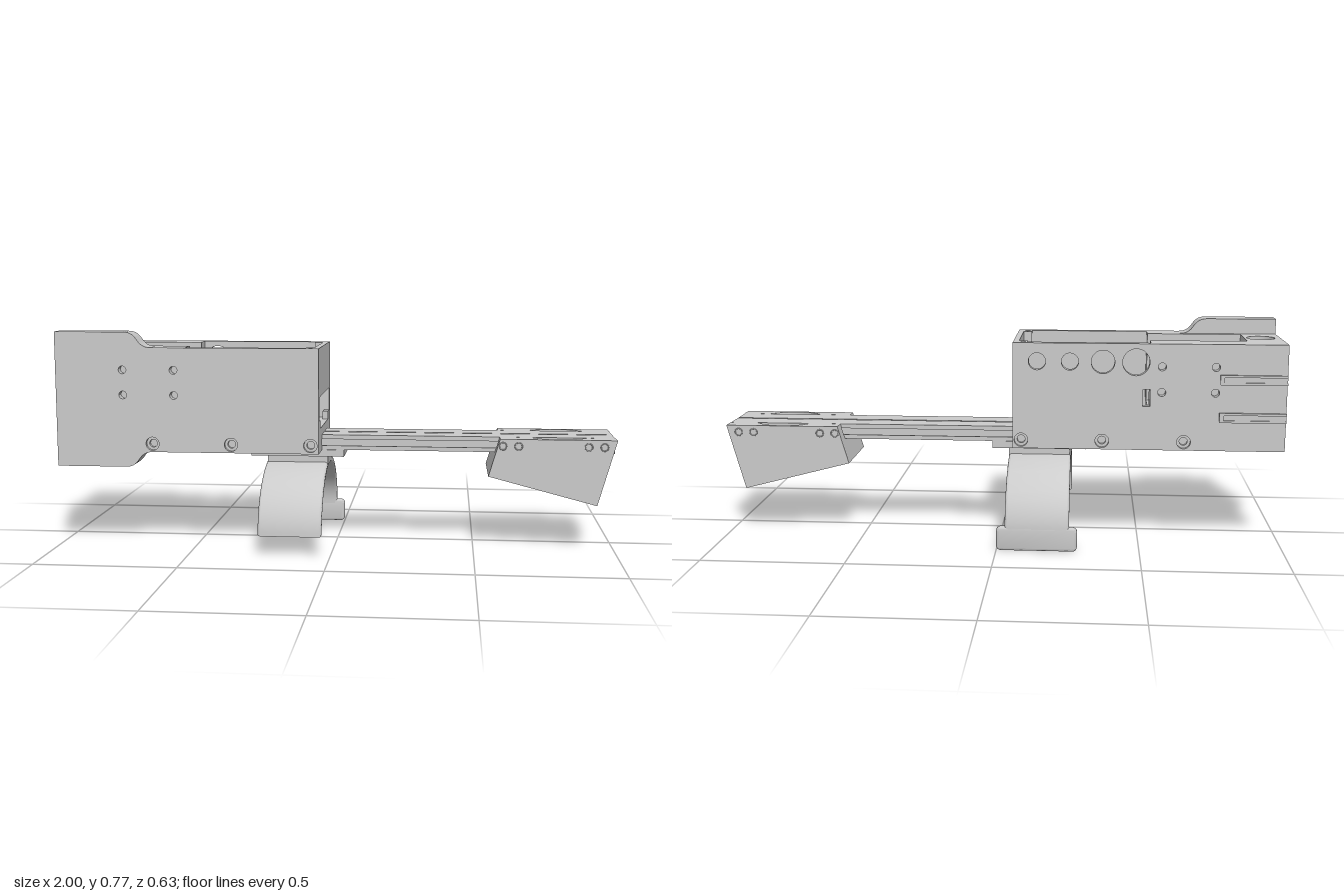
import * as THREE from 'three';
import { toCreasedNormals } from 'three/addons/utils/BufferGeometryUtils.js';

const material = new THREE.MeshStandardMaterial({ color: 0xcccccc });

const poly = (pts) => new THREE.Shape(pts.map(([x, y]) => new THREE.Vector2(x, y)));
const rect = (x0, y0, x1, y1) => poly([[x0, y0], [x1, y0], [x1, y1], [x0, y1]]);
const disc = (x, y, r) => new THREE.Shape().absarc(x, y, r, 0, Math.PI * 2);

function cut(shape, ...holes) {
  shape.holes.push(...holes);
  return shape;
}

// Extrudes a shape from a to b along z, y (shape y = -z) or x (shape x = -z)
function slab(shape, axis, a, b, bevel = 0) {
  let g = new THREE.ExtrudeGeometry(shape, {
    depth: b - a - 2 * bevel, bevelEnabled: bevel > 0, bevelSize: bevel,
    bevelThickness: bevel, bevelOffset: -bevel, bevelSegments: 3, curveSegments: 16,
  });
  g.translate(0, 0, a + bevel);
  if (axis === 'y') g.rotateX(-Math.PI / 2);
  if (axis === 'x') g.rotateY(Math.PI / 2);
  return toCreasedNormals(g, 0.6);
}

export function createModel() {
  const model = new THREE.Group();
  const add = (name, geometry, parent = model) => {
    const m = new THREE.Mesh(geometry, material);
    m.name = name;
    parent.add(m);
    return m;
  };
  const box = (name, x0, x1, y0, y1, z0, z1, parent) => {
    const g = new THREE.BoxGeometry(x1 - x0, y1 - y0, z1 - z0);
    g.translate((x0 + x1) / 2, (y0 + y1) / 2, (z0 + z1) / 2);
    return add(name, g, parent);
  };

  // ---- Housing ----
  const housing = new THREE.Group();
  housing.name = 'housing';
  model.add(housing);
  const screwX = [-0.65, -0.365, -0.08];
  const wallHoles = () => [
    ...screwX.map((x) => disc(x, 0.375, 0.024)),
    ...[-0.755, -0.57].flatMap((x) => [0.64, 0.55].map((y) => disc(x, y, 0.014))),
  ];

  // Front wall with a taller and deeper cheek at its outer end
  const cheek = (x) => {
    const s = new THREE.Shape();
    s.moveTo(-1, 0.29);
    s.lineTo(-0.75, 0.29);
    s.bezierCurveTo(-0.69, 0.29, -0.71, 0.345, -0.65, 0.345);
    s.lineTo(x, 0.345);
    s.lineTo(x, 0.72);
    s.lineTo(-0.65, 0.72);
    s.bezierCurveTo(-0.71, 0.72, -0.69, 0.775, -0.75, 0.775);
    s.lineTo(-1, 0.775);
    return s;
  };
  add('frontWall', slab(cut(cheek(-0.05), ...wallHoles()), 'z', 0.17, 0.2), housing);
  add('frontCheek', slab(cheek(-0.64), 'z', 0.12, 0.17), housing);

  // Back wall with port holes and a slot
  const ports = [[-0.135, 0.03], [-0.25, 0.03], [-0.365, 0.041], [-0.48, 0.047]];
  add('backWall', slab(cut(rect(-1, 0.345, -0.05, 0.72), ...wallHoles(),
    ...ports.map(([x, r]) => disc(x, 0.655, r)), rect(-0.53, 0.5, -0.505, 0.56)), 'z', -0.2, -0.17), housing);
  for (const y of [0.58, 0.447]) {
    box('backRail', -1, -0.77, y, y + 0.034, -0.205, -0.2, housing);
    for (const dy of [0, 0.026]) box('railEdge', -1, -0.77, y + dy, y + dy + 0.008, -0.21, -0.205, housing);
    box('railStop', -0.785, -0.77, y, y + 0.034, -0.21, -0.205, housing);
  }

  // Counterbored screw seats
  for (const x of screwX) for (const z of [0.172, -0.186]) {
    add('screwSeat', slab(cut(disc(x, 0.375, 0.024), disc(x, 0.375, 0.014)), 'z', z, z + 0.014), housing);
  }

  // End wall with the window
  add('endWall', slab(cut(rect(-0.17, 0.4, 0.17, 0.72),
    poly([[-0.17, 0.46], [-0.145, 0.46], [-0.145, 0.43], [0.12, 0.43], [0.12, 0.46], [0.17, 0.46], [0.17, 0.545], [-0.17, 0.545]])),
  'x', -0.07, -0.05), housing);

  // Floor, solid outer block with its channel, and the skirts beside the beam
  add('floor', slab(rect(-0.53, -0.17, -0.07, 0.17), 'y', 0.4, 0.43), housing);
  add('blockBase', slab(cut(rect(-1, -0.17, -0.53, 0.17), disc(-0.93, 0, 0.05), rect(-0.87, -0.1, -0.7, 0.1)), 'y', 0.4, 0.47), housing);
  add('blockWalls', slab(cut(poly([[-1, -0.17], [-0.53, -0.17], [-0.53, -0.1], [-0.87, -0.1], [-0.87, 0.1], [-0.53, 0.1], [-0.53, 0.17], [-1, 0.17]]),
    disc(-0.93, 0, 0.05)), 'y', 0.47, 0.72), housing);
  for (const s of [-1, 1]) {
    const a = s > 0 ? 0.092 : -0.17;
    box('skirt', -1, -0.05, 0.345, 0.4, a, a + 0.078, housing);
    // Lid screw bosses in the corners
    const z = s * 0.155;
    add('lidBoss', slab(cut(rect(-0.1, z - 0.02, -0.068, z + 0.02), disc(-0.084, z, 0.01)), 'y', 0.65, 0.72), housing);
  }

  // Board standoffs on the floor
  for (const [x, z] of [[-0.43, -0.11], [-0.43, 0.05], [-0.13, -0.135], [-0.14, 0.135]]) {
    const h = Math.abs(z) > 0.12 ? 0.014 : 0.018;
    add('standoff', slab(cut(rect(x - h, -z - h, x + h, -z + h), disc(x, -z, 0.009)), 'y', 0.43, 0.458), housing);
  }

  // ---- Slotted beam ----
  const half = [[0.016, 0.345], [0.016, 0.352], [0.036, 0.352], [0.036, 0.362], [0.02, 0.375]];
  const side = [[0.087, 0.345], [0.087, 0.36], [0.08, 0.36], [0.08, 0.35], [0.052, 0.35], [0.052, 0.392],
    [0.08, 0.392], [0.08, 0.384], [0.087, 0.384], [0.087, 0.4], [0.005, 0.4], [0.005, 0.393]];
  const right = [...half.reverse(), ...side];
  const left = right.map(([x, y]) => [-x, y]).reverse();
  add('beam', slab(poly([...right, ...left]), 'x', -0.7, 0.998));

  // ---- Tilted head: straight layers sheared onto the slanted sides ----
  const head = new THREE.Group();
  head.name = 'head';
  model.add(head);
  const mix = THREE.MathUtils.lerp;
  const layer = (name, shape, low, high) => {
    const g = slab(shape, 'y', 0, 1).deleteAttribute('normal');
    const p = g.attributes.position;
    for (let i = 0; i < p.count; i++) {
      const u = (p.getX(i) - 0.59) / 0.41;
      const v = mix(mix(low[0], low[1], u), mix(high[0], high[1], u), p.getY(i));
      p.setX(i, mix(mix(0.55, 0.935, u), mix(0.59, 1, u), v));
      p.setY(i, mix(mix(0.265, 0.165, u), 0.4, v));
    }
    add(name, toCreasedNormals(g, 0.6), head);
  };
  const block = () => rect(0.59, -0.142, 1, 0.142);
  const bolts = [-1, 1].flatMap((a) => [-1, 1].map((b) => disc(0.8 + a * 0.065, b * 0.1, 0.012)));
  layer('headBase', cut(block(), disc(0.8, 0, 0.075), ...bolts), [0, 0], [0.22, 0.13]);
  layer('headBody', cut(block(), disc(0.8, 0, 0.132)), [0.22, 0.13], [0.59, 0.766]);
  for (const s of [-1, 1]) {
    const notch = [];
    for (let i = 0; i <= 16; i++) {
      const t = mix(0.73, Math.PI - 0.73, i / 16);
      notch.push([0.8 + 0.132 * Math.cos(t), s * 0.132 * Math.sin(t)]);
    }
    layer('headCheek', poly([[0.59, s * 0.088], [0.59, s * 0.142], [1, s * 0.142], [1, s * 0.088], ...notch]), [0.59, 0.766], [1, 1]);
    for (const x of [0.6, 0.655, 0.9, 0.955]) {
      const g = new THREE.TorusGeometry(0.013, 0.002, 6, 20);
      g.translate(x, 0.375, s * 0.142);
      add('headScrew', g, head);
    }
  }

  // ---- Arm cuff with its strap buckle ----
  const cuff = new THREE.Group();
  cuff.name = 'cuff';
  model.add(cuff);
  const arc = (d) => Array.from({ length: 49 }, (_, i) => {
    const t = (Math.PI * i) / 48;
    return [(0.3 + d) * Math.cos(t), 0.07 + (0.222 + d) * Math.sin(t)];
  });
  add('cuffArch', slab(poly([...arc(0.013), ...arc(-0.013).reverse()]), 'x', -0.255, -0.03, 0.009), cuff);
  box('cuffSaddle', -0.25, -0.03, 0.285, 0.345, -0.08, 0.08, cuff);
  box('cuffPlate', -0.31, 0.03, 0.32, 0.345, -0.09, 0.09, cuff);

  const roundRect = (x0, y0, x1, y1, r) => new THREE.Shape()
    .absarc(x1 - r, y0 + r, r, -Math.PI / 2, 0).absarc(x1 - r, y1 - r, r, 0, Math.PI / 2)
    .absarc(x0 + r, y1 - r, r, Math.PI / 2, Math.PI).absarc(x0 + r, y0 + r, r, Math.PI, Math.PI * 1.5);
  add('buckle', slab(cut(roundRect(-0.283, 0, 0, 0.086, 0.016), rect(-0.265, 0.018, -0.018, 0.068)), 'z', -0.313, -0.287, 0.009), cuff);
  return model;
}
